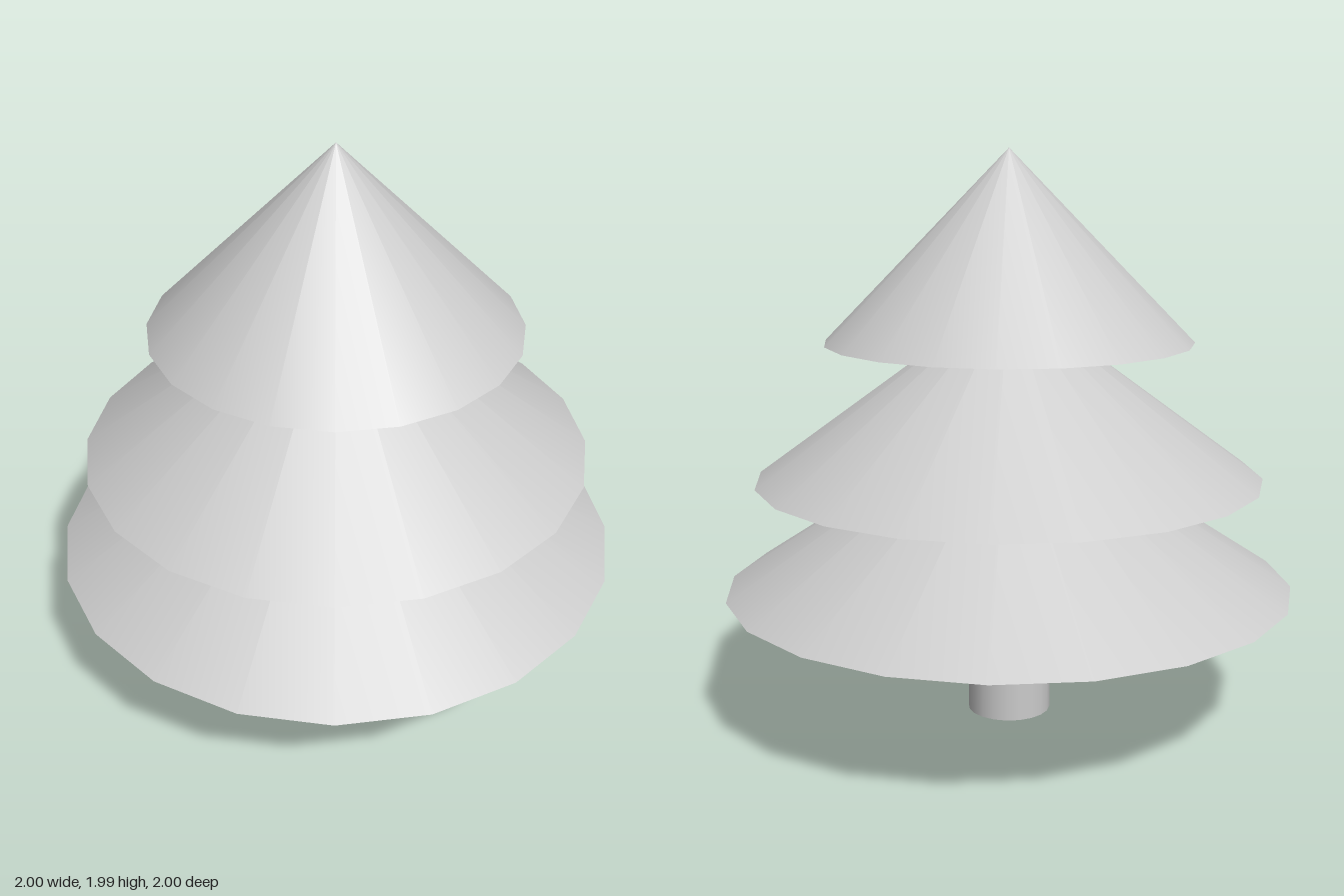
import * as THREE from 'three';

const SIDES = 20;

export function createModel() {
  const tree = new THREE.Group();
  tree.name = 'pineTree';
  const material = new THREE.MeshStandardMaterial({ color: 0xcccccc });

  // Trunk, running slightly up into the lowest tier
  const trunkHeight = 0.6;
  const trunk = new THREE.Mesh(
    new THREE.CylinderGeometry(0.147, 0.147, trunkHeight, SIDES), material);
  trunk.position.y = trunkHeight / 2;
  trunk.name = 'trunk';
  tree.add(trunk);

  // Overlapping foliage cones, closed underneath
  const tiers = [
    { name: 'lowerFoliage', radius: 0.998, base: 0.47, apex: 1.123 },
    { name: 'middleFoliage', radius: 0.887, base: 0.86, apex: 1.51 },
    { name: 'upperFoliage', radius: 0.64, base: 1.337, apex: 1.993 },
  ];
  for (const { name, radius, base, apex } of tiers) {
    const tier = new THREE.Mesh(
      new THREE.ConeGeometry(radius, apex - base, SIDES), material);
    tier.position.y = (base + apex) / 2;
    tier.name = name;
    tree.add(tier);
  }

  return tree;
}
